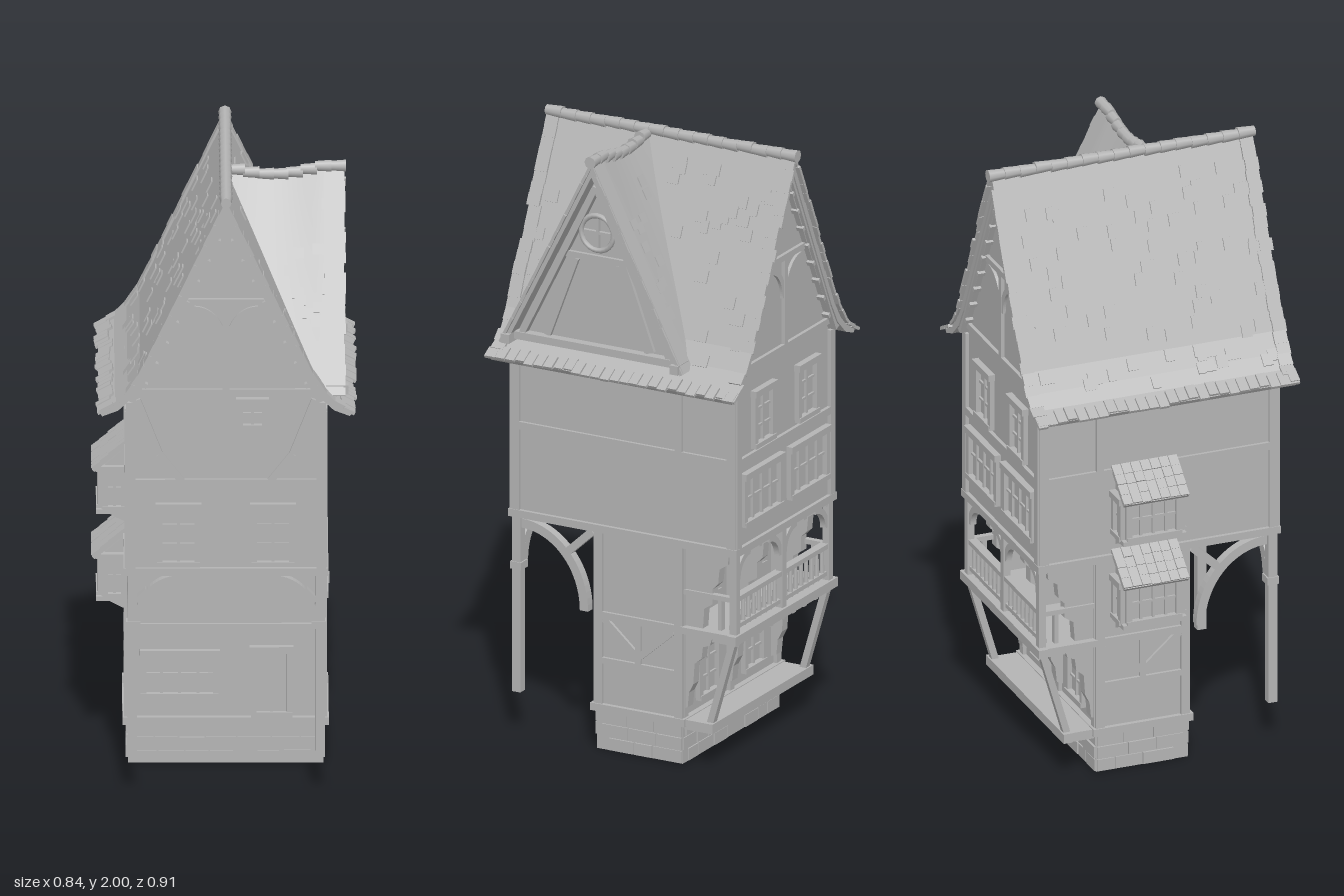
import * as THREE from 'three';
import { mergeGeometries } from 'three/addons/utils/BufferGeometryUtils.js';

const plaster = new THREE.MeshStandardMaterial({ color: 0xb4b4b4, side: THREE.DoubleSide });
plaster.name = 'grey';

let seed = 7;
const rnd = (a, b) => { seed = (seed * 16807) % 2147483647; return a + (b - a) * seed / 2147483647; };

// Merges a list of geometries into one named mesh
function part(parent, name, geos) {
  const mesh = new THREE.Mesh(mergeGeometries(geos.map(g => g.index ? g.toNonIndexed() : g)), plaster);
  mesh.name = name;
  parent.add(mesh);
  return mesh;
}
const box = (w, h, d, x, y, z, rz = 0, rx = 0) =>
  new THREE.BoxGeometry(w, h, d).rotateZ(rz).rotateX(rx).translate(x, y, z);
// Timber from (u1,v1) to (u2,v2) lying on a wall, d proud of it
const beam = (u1, v1, u2, v2, w = 0.025, d = 0.012, n = 0) =>
  box(Math.hypot(u2 - u1, v2 - v1), w, d + 0.01, (u1 + u2) / 2, (v1 + v2) / 2, n + d / 2 - 0.005, Math.atan2(v2 - v1, u2 - u1));
const extrude = (shape, depth, z = 0) =>
  new THREE.ExtrudeGeometry(shape, { depth, bevelEnabled: false, curveSegments: 10 }).translate(0, 0, z);
const poly = pts => new THREE.Shape(pts.map(p => new THREE.Vector2(p[0], p[1])));
// Curved timber: part of an elliptical ring
function arc(cx, cy, rx, ry, a0, a1, t, depth, z = 0) {
  const s = new THREE.Shape();
  s.absellipse(cx, cy, rx, ry, a0, a1, false);
  s.absellipse(cx, cy, rx - t, ry - t, a1, a0, true);
  return extrude(s, depth, z);
}
// Window: frame, lintel, sill and glazing bars
function windowBars(u, v, w, h, cols, rows) {
  const g = [beam(u - w / 2 - 0.012, v + h / 2, u + w / 2 + 0.012, v + h / 2, 0.022, 0.022),
    beam(u - w / 2 - 0.008, v - h / 2, u + w / 2 + 0.008, v - h / 2, 0.016, 0.02)];
  for (const s of [-1, 1]) g.push(beam(u + s * w / 2, v - h / 2, u + s * w / 2, v + h / 2, 0.02, 0.016));
  for (let i = 1; i < cols; i++) { const x = u - w / 2 + w * i / cols; g.push(beam(x, v - h / 2, x, v + h / 2, 0.009, 0.009)); }
  for (let i = 1; i < rows; i++) { const y = v - h / 2 + h * i / rows; g.push(beam(u - w / 2, y, u + w / 2, y, 0.008, 0.007)); }
  return g;
}
// Group whose local x/y lie on a wall and whose z points out of it
function face(parent, name, x, z, ry) {
  const g = new THREE.Group();
  g.name = name; g.position.set(x, 0, z); g.rotation.y = ry;
  parent.add(g);
  return g;
}
const both = f => [-1, 1].flatMap(f);
const PI = Math.PI, Z0 = 0.085; // Z0: dormer centre line

function roofs(house) {
  // Main roof, steep with flared eaves
  const outer = [[0, 1.97], [0.1, 1.76], [0.2, 1.55], [0.27, 1.405], [0.31, 1.345], [0.35, 1.305], [0.4, 1.278]];
  const inner = [[0.39, 1.264], [0.34, 1.283], [0.29, 1.33], [0.25, 1.4], [0, 1.925]];
  part(house, 'mainRoof', both(s => extrude(poly([...outer, ...inner].map(p => [s * p[0], p[1]])), 0.87, -0.435)));
  const path = new THREE.CurvePath();
  for (let i = 1; i < outer.length; i++) path.add(new THREE.LineCurve(new THREE.Vector2(...outer[i - 1]), new THREE.Vector2(...outer[i])));
  const tile = (s, t, z, w, l, lift) => {
    const p = path.getPointAt(t), d = path.getTangentAt(t);
    return box(l, 0.01, w, s * (p.x - d.y * lift), p.y + d.x * lift, z, s * Math.atan2(d.y, d.x));
  };
  const tiles = [];
  for (const s of [-1, 1]) {
    for (let i = 0; i < 22; i++) for (const e of [-1, 1])
      tiles.push(tile(s, (i + 0.6) / 22, e * rnd(0.42, 0.43), 0.045, 0.04, rnd(0, 0.004)));
    for (let i = 0; i < 26; i++) tiles.push(tile(s, rnd(0.965, 0.985), -0.43 + i * 0.0344, 0.031, 0.05, rnd(0, 0.004)));
    for (let i = 0; i < 70; i++) {
      const z = rnd(-0.4, 0.4), t = rnd(0.08, 0.9);
      if (s < 0 || Math.abs(z - Z0) > 0.04 + 0.34 * t) tiles.push(tile(s, t, z, rnd(0.025, 0.05), 0.04, 0));
    }
  }
  part(house, 'roofTiles', tiles);
  part(house, 'ridgeTiles', Array.from({ length: 17 }, (_, i) =>
    new THREE.CylinderGeometry(0.017, 0.021, 0.058, 8).rotateX(PI / 2).translate(0, 1.974 + rnd(0, 0.004), -0.424 + i * 0.053)));

  // Dormer roof: two sheets from a sagging ridge down to the valleys
  const ridgeY = x => 1.967 - 0.025 * Math.sin(PI * Math.min(1, x / 0.3)) + 0.01 * x;
  const sheets = both(s => {
    const g = new THREE.PlaneGeometry(1, 1, 12, 12), p = g.attributes.position;
    for (let i = 0; i < p.count; i++) {
      const t = 0.5 - p.getY(i), x = THREE.MathUtils.lerp(0.3 * t, 0.372, p.getX(i) + 0.5);
      p.setXYZ(i, x, THREE.MathUtils.lerp(ridgeY(x), 1.33, t), Z0 + s * 0.322 * t);
    }
    g.computeVertexNormals();
    return g;
  });
  part(house, 'dormerRoof', sheets);
  const slope = Math.atan2(0.64, 0.322), dTiles = [];
  for (const s of [-1, 1]) {
    for (let i = 0; i < 22; i++) {
      const t = (i + 0.7) / 22;
      dTiles.push(box(0.05, 0.01, 0.034, rnd(0.346, 0.354), 1.967 - 0.637 * t, Z0 + s * 0.324 * t, 0, s * slope));
    }
    for (let i = 0; i < 12; i++) {
      const t = rnd(0.15, 0.85), x = rnd(0.3 * t + 0.06, 0.33);
      dTiles.push(box(0.035, 0.008, 0.034, x, ridgeY(x) * (1 - t) + 1.33 * t, Z0 + s * 0.322 * t, 0, s * slope));
    }
  }
  part(house, 'dormerTiles', dTiles);
  part(house, 'dormerRidgeTiles', Array.from({ length: 8 }, (_, i) => {
    const x = 0.035 + i * 0.0455;
    return new THREE.CylinderGeometry(0.02, 0.016, 0.052, 8).rotateZ(-PI / 2).translate(x, ridgeY(x) + 0.008, Z0);
  }));

  // Dormer gable with round window
  const f = face(house, 'dormerGable', 0.32, Z0, PI / 2);
  part(f, 'dormerWall', [extrude(poly([[-0.305, 1.325], [0.305, 1.325], [0, 1.94]]), 0.01, -0.01)]);
  part(f, 'dormerTimbers', [beam(-0.3, 1.345, 0.3, 1.345, 0.025, 0.03), beam(-0.12, 1.643, 0.12, 1.643, 0.02),
    ...both(s => [beam(s * 0.32, 1.325, 0, 1.955, 0.025, 0.05), beam(s * 0.268, 1.35, 0, 1.885, 0.02, 0.025),
      beam(s * 0.188, 1.36, s * 0.085, 1.635, 0.035), box(0.03, 0.03, 0.07, s * 0.305, 1.34, 0.03)])]);
  part(f, 'roundWindow', [new THREE.TorusGeometry(0.058, 0.009, 6, 24).translate(0, 1.73, 0.012),
    beam(-0.055, 1.73, 0.055, 1.73, 0.009), beam(0, 1.675, 0, 1.785, 0.009)]);
}

function walls(house) {
  const W = 0.31;
  part(house, 'upperWalls', [extrude(poly([[-W, 0.74], [W, 0.74], [W, 1.28], [0.28, 1.33], [0, 1.93], [-0.28, 1.33], [-W, 1.28]]), 0.8, -0.4)]);
  part(house, 'lowerWalls', [box(2 * W, 0.6, 0.3, 0, 0.44, -0.055)]);

  // Stone base, hollow underneath
  const stones = both(s => [box(0.03, 0.135, 0.31, s * 0.293, 0.0675, -0.055), box(0.6, 0.135, 0.03, 0, 0.0675, -0.055 + s * 0.14)]);
  for (let r = 0; r < 3; r++) for (const s of [-1, 1]) {
    for (let a = -0.308; a < 0.25;) {
      const l = Math.min(rnd(0.06, 0.12), 0.308 - a);
      stones.push(box(l - 0.005, 0.04, 0.02, a + l / 2, 0.022 + r * 0.044, -0.055 + s * rnd(0.148, 0.152)));
      a += l;
    }
    for (let a = -0.21; a < 0.05;) {
      const l = Math.min(rnd(0.06, 0.11), 0.1 - a);
      stones.push(box(0.02, 0.04, l - 0.005, s * rnd(0.301, 0.305), 0.022 + r * 0.044, a + l / 2));
      a += l;
    }
  }
  part(house, 'stoneBase', stones);
  part(house, 'sills', [box(0.65, 0.025, 0.34, 0, 0.142, -0.055), box(0.645, 0.025, 0.825, 0, 0.738, 0)]);

  // Gable timbers shared by front and back
  const gable = f => part(f, 'gableTimbers', [beam(-W, 1.033, W, 1.033), beam(-0.285, 1.335, 0.285, 1.335, 0.02),
    beam(-0.12, 1.635, 0.12, 1.635, 0.02), beam(0, 1.34, 0, 1.63, 0.022),
    ...both(s => [beam(s * 0.3, 0.74, s * 0.3, 1.3, 0.03), beam(s * 0.3, 1.31, 0, 1.93, 0.025, 0.03),
      beam(s * 0.265, 1.37, 0, 1.905, 0.014, 0.018),
      arc(s * 0.1, 1.5, 0.1, 0.12, s < 0 ? 0 : PI / 2, s < 0 ? PI / 2 : PI, 0.02, 0.01),
      ...Array.from({ length: 8 }, (_, i) => box(0.015, 0.025, 0.03, s * (0.03 + i * 0.033), 1.84 - i * 0.068, 0.01, -s * 1.1))])]);

  // Front
  const front = face(house, 'frontFace', 0, 0.4, 0);
  gable(front);
  part(front, 'frontBraces', both(s => [beam(s * 0.28, 1.31, s * 0.21, 1.13, 0.022), beam(s * 0.21, 1.13, s * 0.14, 1.04, 0.022)]));
  part(front, 'frontWindows', [...windowBars(-0.15, 0.86, 0.12, 0.19, 2, 3), ...windowBars(0.148, 0.86, 0.12, 0.19, 2, 3),
    ...windowBars(0.083, 1.262, 0.08, 0.085, 2, 2)]);
  const ground = face(house, 'groundFrontFace', 0, 0.095, 0);
  part(ground, 'groundTimbers', [beam(-W, 0.45, W, 0.45), ...both(s => beam(s * 0.297, 0.15, s * 0.297, 0.73, 0.026))]);
  part(ground, 'groundWindow', windowBars(-0.145, 0.295, 0.23, 0.14, 4, 2));
  part(ground, 'door', [...windowBars(0.145, 0.27, 0.115, 0.215, 2, 3), box(0.1, 0.2, 0.012, 0.145, 0.265, 0)]);

  // Front porch posts with curved brackets both ways
  part(house, 'porchPosts', both(s => [box(0.03, 0.595, 0.03, s * 0.296, 0.435, 0.39), box(0.045, 0.025, 0.04, s * 0.292, 0.56, 0.39)]));
  part(house, 'porchBrackets', both(s => [
    arc(s * 0.145, 0.57, 0.145, 0.155, s > 0 ? 0 : PI / 2, s > 0 ? PI / 2 : PI, 0.03, 0.03, 0.375),
    box(0.05, 0.02, 0.03, s * 0.265, 0.655, 0.39, -s * 0.8),
    arc(-0.37, 0.45, 0.24, 0.27, 0, PI / 2, 0.03, 0.03, -0.015).rotateY(PI / 2).translate(s * 0.296, 0, 0),
    box(0.03, 0.025, 0.12, s * 0.296, 0.68, 0.16, 0, 0.75)]));

  // Side timbers
  for (const s of [-1, 1]) {
    const f = face(house, s > 0 ? 'rightFace' : 'leftFace', s * 0.308, 0, s * PI / 2);
    const b = (u1, v1, u2, v2, w) => beam(s * u1, v1, s * u2, v2, w);
    part(f, 'sideTimbers', [b(-0.4, 1.033, 0.4, 1.033), b(-0.4, 1.265, 0.4, 1.265), b(-0.39, 0.74, -0.39, 1.27, 0.03), b(0.39, 0.74, 0.39, 1.27, 0.03),
      b(0.2, 1.03, 0.2, 1.27), b(-0.09, 0.15, -0.09, 0.73, 0.03), b(0.2, 0.15, 0.2, 0.73, 0.03),
      b(-0.1, 0.45, 0.2, 0.45), b(-0.1, 0.3, 0.2, 0.3, 0.02), b(0.055, 0.31, 0.055, 0.44, 0.02),
      b(-0.07, 0.44, 0.055, 0.33, 0.022), b(0.18, 0.44, 0.055, 0.33, 0.022),
      ...[-0.22, 0.1, 0.24].map(u => box(0.04, 0.022, 0.04, s * u, 1.258, 0.015))]);
  }

  // Back
  const back = face(house, 'backFace', 0, -0.4, PI);
  gable(back);
  part(back, 'backWindows', both(s => [...windowBars(s * 0.14, 1.15, 0.115, 0.175, 2, 3), ...windowBars(s * 0.148, 0.9, 0.23, 0.16, 4, 2)]));
  const lower = face(house, 'lowerBackFace', 0, -0.205, PI);
  part(lower, 'lowerBackTimbers', [beam(-W, 0.45, W, 0.45), ...[-0.297, 0, 0.297].map(u => beam(u, 0.15, u, 0.73))]);
  part(lower, 'lowerBackWindows', both(s => [...windowBars(s * 0.145, 0.6, 0.115, 0.17, 2, 3), ...windowBars(s * 0.145, 0.28, 0.12, 0.18, 2, 3)]));
}

function balcony(house) {
  part(house, 'balconyFloors', [box(0.65, 0.022, 0.2, 0, 0.452, -0.31), box(0.66, 0.03, 0.03, 0, 0.448, -0.398),
    box(0.63, 0.02, 0.12, 0, 0.142, -0.26), box(0.65, 0.032, 0.03, 0, 0.14, -0.312),
    ...Array.from({ length: 9 }, (_, i) => i * 0.072 - 0.288).flatMap(x => [box(0.018, 0.025, 0.19, x, 0.433, -0.305),
      box(0.018, 0.025, 0.1, x, 0.125, -0.26), box(0.018, 0.02, 0.19, x, 0.72, -0.305)])]);
  part(house, 'railing', [box(0.62, 0.016, 0.028, 0, 0.577, -0.388), box(0.62, 0.014, 0.02, 0, 0.485, -0.388),
    ...both(s => [box(0.02, 0.016, 0.18, s * 0.3, 0.577, -0.3), box(0.02, 0.1, 0.014, s * 0.3, 0.52, -0.345)]),
    ...Array.from({ length: 17 }, (_, i) => new THREE.CylinderGeometry(0.007, 0.01, 0.1, 6).translate(-0.27 + i * 0.03375, 0.525, -0.388))]);
  part(house, 'balconyPosts', [-0.298, 0, 0.298].flatMap(x => [box(0.024, 0.28, 0.024, x, 0.59, -0.393),
    ...(x ? [box(0.024, 0.3, 0.022, x, 0.295, -0.35, 0, -0.28)] : [])]));
  part(house, 'balconyArches', [-0.149, 0.149].flatMap(x => both(s =>
    arc(x + s * 0.06, 0.64, 0.085, 0.085, s > 0 ? 0 : PI / 2, s > 0 ? PI / 2 : PI, 0.02, 0.02, -0.4))));
  // Scalloped corbels under the upper storey and the balcony
  const upper = [[0.2, 0.73], [0.375, 0.73], [0.37, 0.69], [0.34, 0.67], [0.335, 0.62], [0.315, 0.6], [0.315, 0.55], [0.285, 0.53], [0.28, 0.46], [0.2, 0.46]];
  const low = [[0.2, 0.44], [0.315, 0.44], [0.305, 0.41], [0.28, 0.4], [0.275, 0.36], [0.25, 0.34], [0.245, 0.27], [0.23, 0.24], [0.225, 0.19], [0.2, 0.18]];
  part(house, 'corbels', [-0.285, 0, 0.285].flatMap(x => [upper, low].map(p =>
    extrude(poly(p), 0.035, -0.0175).rotateY(PI / 2).translate(x, 0, 0))));
}

function bays(house) {
  // Two stacked bay windows with lean-to tiled roofs
  for (const [name, y] of [['upperBay', 0.8], ['lowerBay', 0.51]]) {
    const f = face(house, name, -0.31, -0.05, -PI / 2);
    const side = poly([[0, -0.02], [0.078, 0.02], [0.078, 0.165], [0, 0.235]]);
    part(f, 'bayBody', [extrude(side, 0.19, -0.095).rotateY(-PI / 2).translate(0, y, 0)]);
    const pane = windowBars(0, y + 0.095, 0.17, 0.13, 4, 2).map(g => g.translate(0, 0, 0.078));
    const cheeks = both(s => windowBars(0, y + 0.095, 0.06, 0.13, 2, 2).map(g => g.rotateY(s * PI / 2).translate(s * 0.095, 0, 0.04)));
    part(f, 'bayWindows', [...pane, ...cheeks, box(0.215, 0.015, 0.1, 0, y + 0.02, 0.048)]);
    const tiles = [box(0.22, 0.012, 0.145, 0, y + 0.204, 0.052, 0, 0.7)];
    for (let r = 0; r < 4; r++) for (let i = 0; i < 7; i++)
      tiles.push(box(0.03, 0.008, 0.036, -0.096 + i * 0.032, y + 0.242 - r * 0.023 + rnd(0, 0.004), 0.017 + r * 0.0265, 0, 0.65));
    part(f, 'bayRoof', tiles);
  }
}

export function createModel() {
  const model = new THREE.Group();
  model.name = 'timberHouse';
  const house = new THREE.Group();
  house.name = 'house';
  house.position.x = 0.01;
  model.add(house);
  roofs(house);
  walls(house);
  balcony(house);
  bays(house);
  return model;
}
